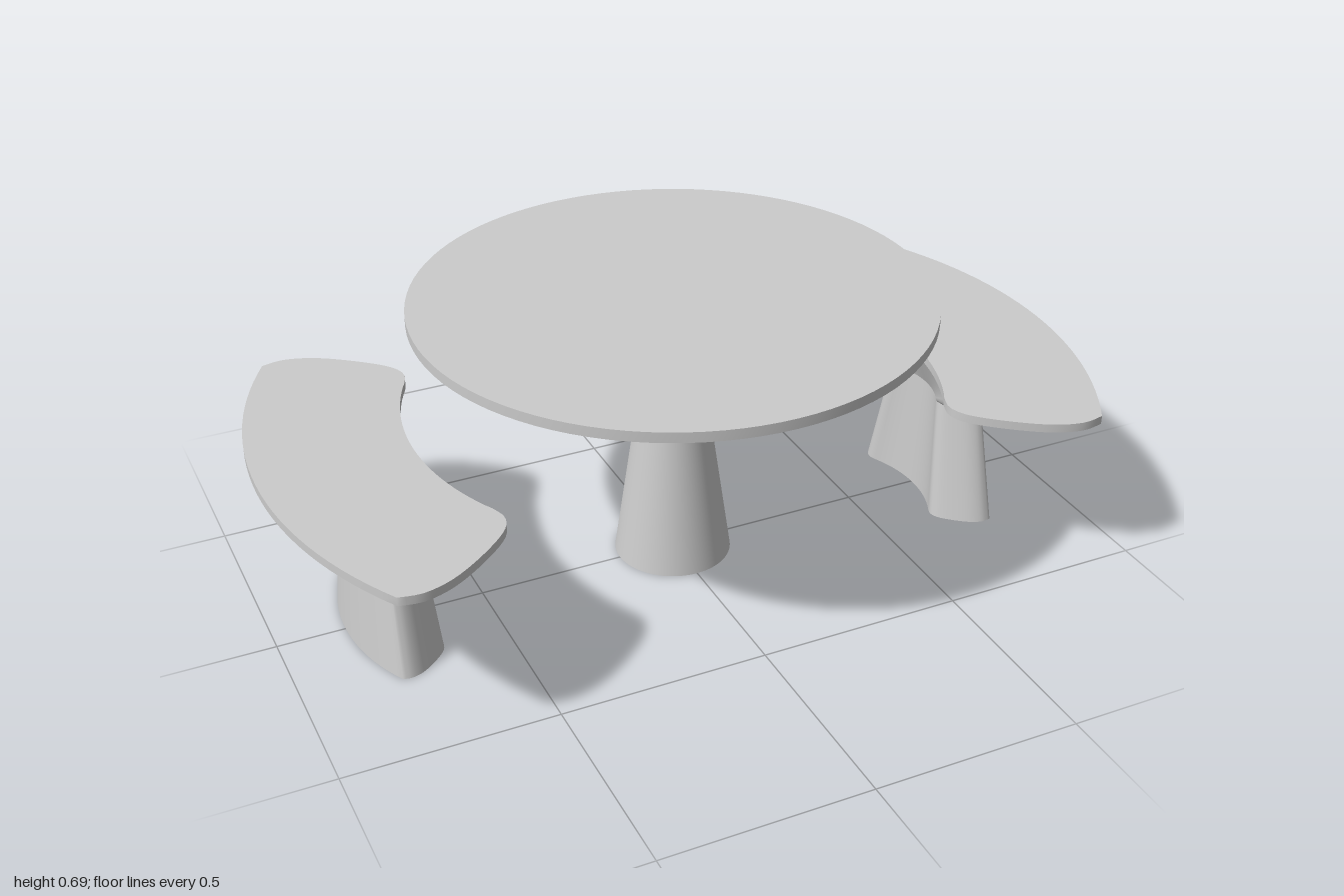
import * as THREE from 'three';
import { mergeGeometries } from 'three/addons/utils/BufferGeometryUtils.js';

const material = new THREE.MeshStandardMaterial({ color: 0xcccccc });

// Round outline, as Vector2(x, z)
function circleOutline(n = 96) {
  return Array.from({ length: n }, (_, i) => {
    const a = (i / n) * Math.PI * 2;
    return new THREE.Vector2(Math.cos(a), Math.sin(a));
  });
}

// Curved seat outline: two arcs around the table joined by rounded ends
function seatOutline() {
  const half = [];
  const arc = (r, from, to, n) => {
    for (let i = 0; i <= n; i++) {
      const a = from + ((to - from) * i) / n;
      half.push(new THREE.Vector2(r * Math.cos(a), r * Math.sin(a)));
    }
  };
  arc(1, 0, 0.555, 14);
  const end = new THREE.SplineCurve([
    [0.85, 0.527], [0.795, 0.535], [0.725, 0.513], [0.645, 0.46], [0.575, 0.397],
    [0.552, 0.35], [0.56, 0.311], [0.573, 0.284],
  ].map(([x, z]) => new THREE.Vector2(x, z)));
  half.push(...end.getSpacedPoints(24).slice(1, -1));
  arc(0.64, 0.46, 0, 12);
  const mirrored = half.slice(1, -1).reverse().map((p) => new THREE.Vector2(p.x, -p.y));
  return [...half, ...mirrored];
}

// Joins scaled copies of an outline; each band is smooth around, sharp against its neighbours.
// Levels: { y, sx, sz, cx }, with the outline scaled about x = pivot and moved to x = cx.
function loft(outline, levels, pivot = 0) {
  const n = outline.length;
  const ring = ({ y, sx, sz = sx, cx = 0 }) =>
    outline.flatMap((p) => [cx + (p.x - pivot) * sx, y, p.y * sz]);
  const build = (positions, index) => {
    const g = new THREE.BufferGeometry();
    g.setAttribute('position', new THREE.Float32BufferAttribute(positions, 3));
    g.setIndex(index);
    g.computeVertexNormals();
    return g;
  };
  const parts = [];
  for (let k = 0; k < levels.length - 1; k++) {
    const index = [];
    for (let i = 0; i < n; i++) {
      const j = (i + 1) % n;
      index.push(i, n + i, j, j, n + i, n + j);
    }
    parts.push(build([...ring(levels[k]), ...ring(levels[k + 1])], index));
  }
  // Flat bottom and top
  const faces = THREE.ShapeUtils.triangulateShape(outline, []);
  parts.push(build(ring(levels[0]), faces.flat()));
  parts.push(build(ring(levels[levels.length - 1]), faces.flatMap(([a, b, c]) => [a, c, b])));
  return mergeGeometries(parts);
}

function addMesh(parent, name, geometry) {
  const mesh = new THREE.Mesh(geometry, material);
  mesh.name = name;
  parent.add(mesh);
}

export function createModel() {
  const model = new THREE.Group();
  model.name = 'tableWithBenches';

  // Table: tapered column flaring into a shallow cone under a thin disc
  const table = new THREE.Group();
  table.name = 'table';
  const circle = circleOutline();
  addMesh(table, 'tablePedestal', loft(circle, [
    { y: 0, sx: 0.142 }, { y: 0.533, sx: 0.066 }, { y: 0.661, sx: 0.6 },
  ]));
  addMesh(table, 'tableTop', loft(circle, [{ y: 0.66, sx: 0.613 }, { y: 0.685, sx: 0.613 }]));
  model.add(table);

  // Benches: the same construction with the curved seat outline
  const seat = seatOutline();
  const pivot = 0.776;
  const pedestal = loft(seat, [
    { y: 0, sx: 0.415, sz: 0.449, cx: 0.744 },
    { y: 0.297, sx: 0.308, cx: 0.746 },
    { y: 0.416, sx: 0.92, sz: 0.97, cx: 0.777 },
  ], pivot);
  const seatSlab = loft(seat, [
    { y: 0.415, sx: 1, cx: pivot }, { y: 0.436, sx: 1, cx: pivot },
  ], pivot);
  for (const [name, turn] of [['leftBench', 0], ['rightBench', Math.PI]]) {
    const bench = new THREE.Group();
    bench.name = name;
    addMesh(bench, 'benchPedestal', pedestal);
    addMesh(bench, 'benchSeat', seatSlab);
    bench.rotation.y = turn;
    model.add(bench);
  }
  return model;
}
